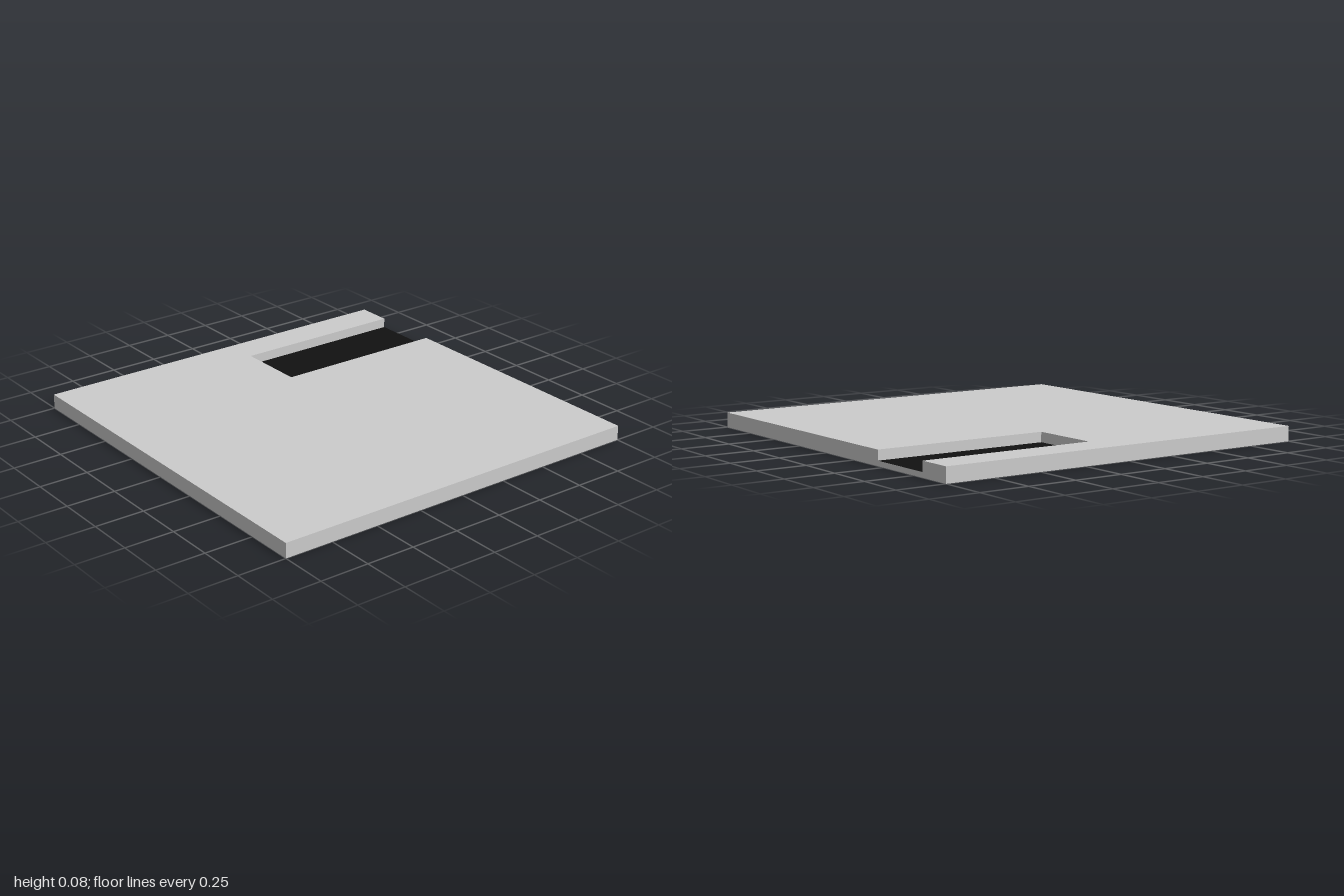
import * as THREE from 'three';
import { mergeGeometries } from 'three/addons/utils/BufferGeometryUtils.js';

const HEIGHT = 0.075, FLOOR = 0.025;           // slab top and slot floor
const SLOT = { x: 0.09, front: 0.455, back: 0.82 }; // back distances are -z

// Vertical faces along a closed counter-clockwise outline of [x, -z] points
function walls(outline, y0, y1) {
  const pos = [];
  outline.forEach(([ax, az], i) => {
    const [bx, bz] = outline[(i + 1) % outline.length];
    const a0 = [ax, y0, -az], b0 = [bx, y0, -bz], b1 = [bx, y1, -bz], a1 = [ax, y1, -az];
    pos.push(...a0, ...b0, ...b1, ...a0, ...b1, ...a1);
  });
  const g = new THREE.BufferGeometry();
  g.setAttribute('position', new THREE.Float32BufferAttribute(pos, 3));
  g.computeVertexNormals();
  return g;
}

// Flat horizontal face filling an outline, facing up
function cap(outline, y) {
  const shape = new THREE.Shape(outline.map(([x, z]) => new THREE.Vector2(x, z)));
  const g = new THREE.ShapeGeometry(shape).rotateX(-Math.PI / 2).translate(0, y, 0).toNonIndexed();
  g.deleteAttribute('uv');
  return g;
}

export function createModel() {
  const model = new THREE.Group();
  const add = (name, geometry, color) => {
    const mesh = new THREE.Mesh(geometry, new THREE.MeshStandardMaterial({ color }));
    mesh.name = name;
    model.add(mesh);
  };

  const { x, front, back } = SLOT;
  const square = [[-1, -1], [1, -1], [1, 1], [-1, 1]];
  const notched = [[-1, -1], [1, -1], [1, front], [x, front], [x, back], [1, back], [1, 1], [-1, 1]];

  // Square slab with a slot open at its left edge
  const underside = cap(square, 0).rotateX(Math.PI);
  add('slab', mergeGeometries([
    underside,
    walls(square, 0, FLOOR),
    walls(notched, FLOOR, HEIGHT),
    cap(notched, HEIGHT),
  ]), 0xcccccc);

  // Dark floor of the slot
  add('slotFloor', cap([[x, front], [1, front], [1, back], [x, back]], FLOOR), 0x111111);

  return model;
}
